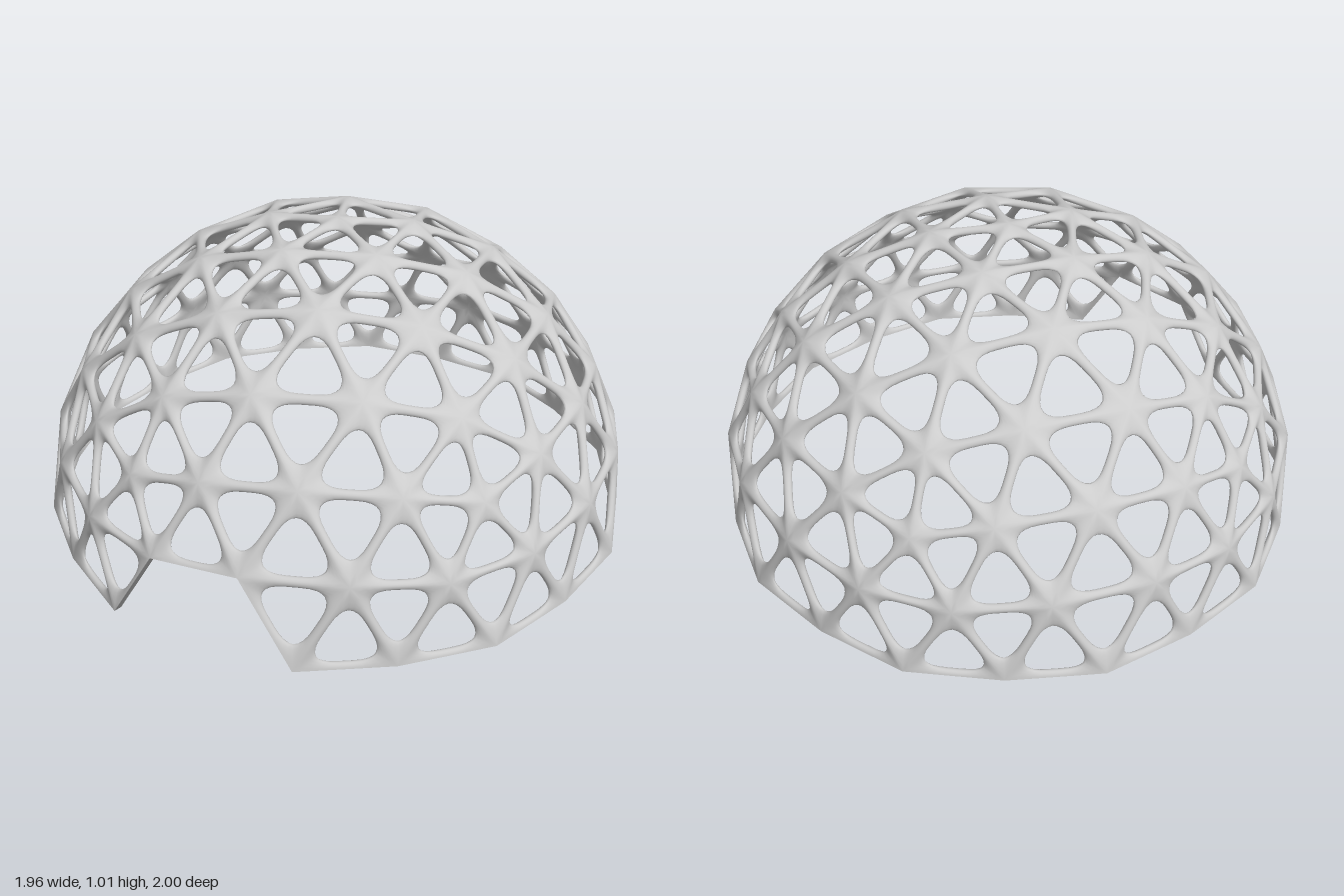
import * as THREE from 'three';
import { mergeVertices } from 'three/addons/utils/BufferGeometryUtils.js';

const RADIUS = 0.987, HALF_THICK = 0.013, LIFT = 0.01;
const FREQ = 4;          // subdivisions of each icosahedron edge
const HOLE = 0.82;       // hole size relative to its triangle
const ROUND = 0.42;      // corner rounding of the holes
const PROFILE = 10;      // steps around each strut's half section

const polar = (deg, y) => {
  const a = THREE.MathUtils.degToRad(deg), r = Math.sqrt(1 - y * y);
  return new THREE.Vector3(r * Math.sin(a), y, r * Math.cos(a));
};

// Barycentric loop of a round-cornered triangular hole
function holeLoop() {
  const ctrl = [0, 1, 2].map(i => new THREE.Vector3(1, 1, 1).multiplyScalar((1 - HOLE) / 3)
    .setComponent(i, (1 - HOLE) / 3 + HOLE));
  const loop = [];
  for (let i = 0; i < 3; i++) {
    const v = ctrl[i], prev = ctrl[(i + 2) % 3], next = ctrl[(i + 1) % 3];
    const curve = new THREE.QuadraticBezierCurve3(
      v.clone().lerp(prev, ROUND), v, v.clone().lerp(next, ROUND));
    loop.push(...curve.getPoints(8), v.clone().lerp(next, 0.5));
  }
  return loop;
}

// Push a barycentric point out from the centroid to the triangle's edge
function toEdge(b) {
  const c = new THREE.Vector3(1, 1, 1).divideScalar(3);
  const d = b.clone().sub(c);
  return c.addScaledVector(d, -1 / (3 * Math.min(d.x, d.y, d.z)));
}

// Vertex of the dome, from a point on a flat icosahedron face
function domePoint(p) {
  const q = p.clone().normalize();
  if (Math.abs(q.y) > 1e-6) {
    q.multiplyScalar(RADIUS);
    q.y += LIFT;
    return q;
  }
  // Ground ring: every other vertex sits slightly further in
  const step = Math.round(THREE.MathUtils.radToDeg(Math.atan2(q.x, q.z)) / 18);
  q.y = 0;
  return q.multiplyScalar(RADIUS * (step % 2 ? 0.982 : 1));
}

// Upper half of the geodesic sphere, with the doorway left out
function domeTriangles() {
  const apex = new THREE.Vector3(0, 1, 0), y = 1 / Math.sqrt(5), faces = [];
  for (let k = 0; k < 5; k++) {
    const u0 = polar(72 * k - 36, y), u1 = polar(72 * k + 36, y);
    const l0 = polar(72 * k, -y), l1 = polar(72 * k + 72, -y);
    faces.push([apex, u0, u1], [u0, l0, u1], [u1, l0, l1]);
  }
  const out = [];
  for (const [A, B, C] of faces) {
    const at = (i, j) => domePoint(new THREE.Vector3()
      .addScaledVector(A, FREQ - i - j).addScaledVector(B, i).addScaledVector(C, j));
    const add = (...t) => {
      const mid = t[0].clone().add(t[1]).add(t[2]).divideScalar(3);
      if (mid.y < 0.03) return;
      const az = THREE.MathUtils.radToDeg(Math.atan2(mid.x, mid.z));
      if (mid.y < 0.25 && az > -33 && az < -3) return;
      const n = t[1].clone().sub(t[0]).cross(t[2].clone().sub(t[0]));
      out.push(n.dot(mid) > 0 ? t : [t[0], t[2], t[1]]);
    };
    for (let i = 0; i < FREQ; i++) {
      for (let j = 0; i + j < FREQ; j++) {
        add(at(i, j), at(i + 1, j), at(i, j + 1));
        if (i + j < FREQ - 1) add(at(i + 1, j), at(i + 1, j + 1), at(i, j + 1));
      }
    }
  }
  return out;
}

const offset = (p, d) => p.clone().addScaledVector(p.clone().normalize(), d);

function toGeometry(pos, idx) {
  let g = new THREE.BufferGeometry();
  g.setAttribute('position', new THREE.Float32BufferAttribute(pos, 3));
  g.setIndex(idx);
  g = mergeVertices(g, 1e-4);
  g.computeVertexNormals();
  return g;
}

// Rounded struts: each triangle is swept from its edge round into its hole
function latticeGeometry(triangles) {
  const hole = holeLoop(), edge = hole.map(toEdge), n = hole.length;
  const pos = [], idx = [];
  const place = (t, b) => new THREE.Vector3()
    .addScaledVector(t[0], b.x).addScaledVector(t[1], b.y).addScaledVector(t[2], b.z);
  for (const t of triangles) {
    const base = pos.length / 3;
    for (let r = 0; r <= PROFILE; r++) {
      const a = Math.PI * r / PROFILE;
      for (let j = 0; j < n; j++) {
        const p = place(t, edge[j].clone().lerp(hole[j], Math.sin(a)));
        pos.push(...offset(p, HALF_THICK * Math.cos(a)).toArray());
      }
    }
    for (let r = 0; r < PROFILE; r++) {
      for (let j = 0; j < n; j++) {
        const a = base + r * n + j, b = base + r * n + (j + 1) % n;
        idx.push(a, b, b + n, a, b + n, a + n);
      }
    }
  }
  return toGeometry(pos, idx);
}

// Flat wall closing the open edges along the ground and doorway
function rimGeometry(triangles) {
  const edges = new Map();
  for (const t of triangles) {
    for (let i = 0; i < 3; i++) {
      const a = t[i], b = t[(i + 1) % 3];
      const key = a.clone().add(b).toArray().map(v => Math.round(v * 1000) + 0).join();
      if (edges.has(key)) edges.delete(key);
      else edges.set(key, [a, b]);
    }
  }
  const pos = [], idx = [];
  for (const [a, b] of edges.values()) {
    const s = pos.length / 3;
    for (const p of [a, b]) {
      pos.push(...offset(p, HALF_THICK).toArray(), ...offset(p, -HALF_THICK).toArray());
    }
    idx.push(s, s + 1, s + 2, s + 2, s + 1, s + 3);
  }
  return toGeometry(pos, idx);
}

export function createModel() {
  const group = new THREE.Group();
  group.name = 'geodesicDome';
  const material = new THREE.MeshStandardMaterial({ color: 0xcccccc, side: THREE.DoubleSide });
  const triangles = domeTriangles();
  const lattice = new THREE.Mesh(latticeGeometry(triangles), material);
  lattice.name = 'domeLattice';
  const rim = new THREE.Mesh(rimGeometry(triangles), material);
  rim.name = 'groundAndDoorRim';
  group.add(lattice, rim);
  return group;
}
